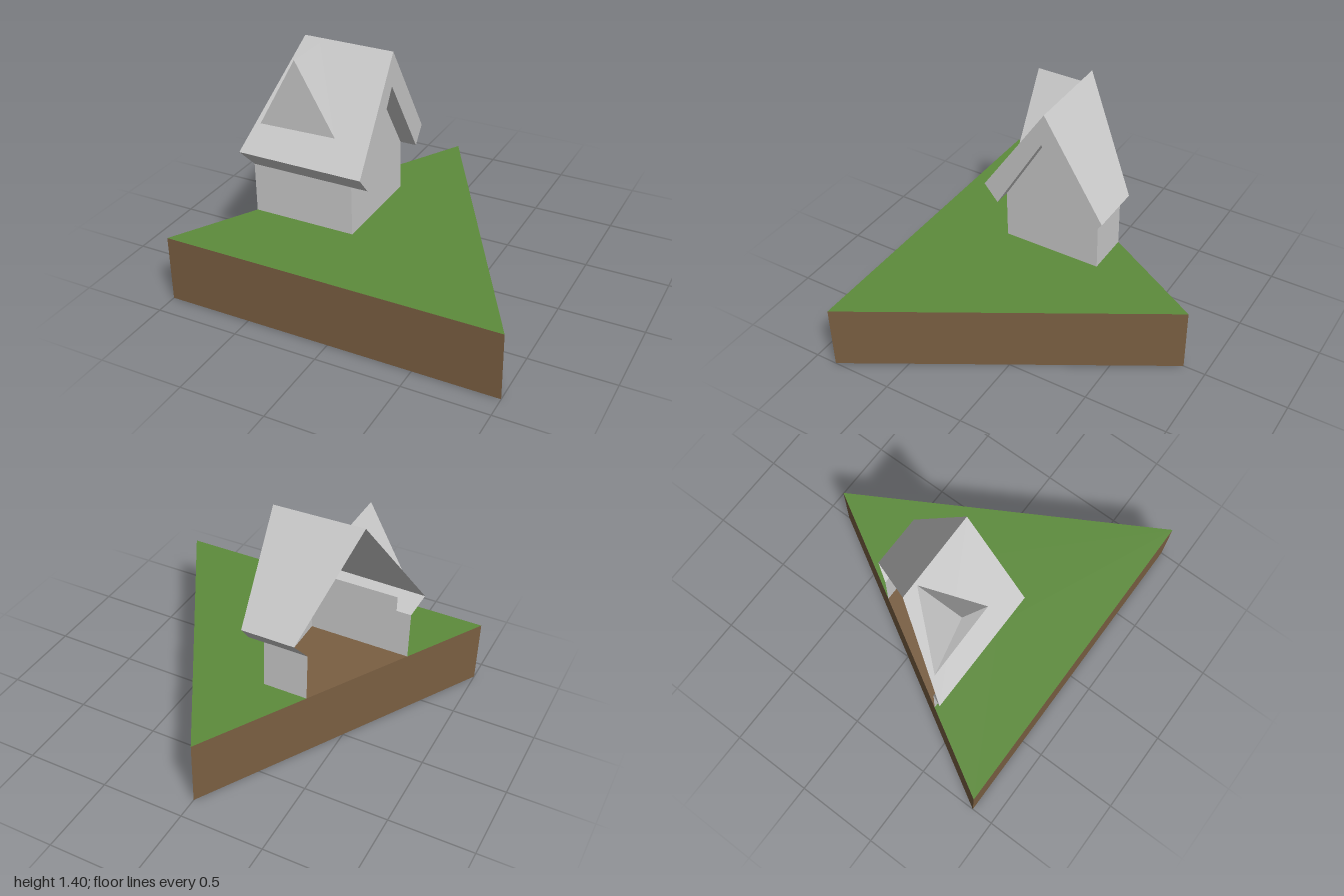
import * as THREE from 'three';

const EDGE = 0.866;                                     // half depth of the triangular plot
const cutX = z => -1 + (EDGE - z) / (2 * EDGE);         // slanted plane that slices the house

const material = color => new THREE.MeshStandardMaterial({ color, side: THREE.DoubleSide, flatShading: true });
const GREY = material(0xcccccc), EARTH = material(0x7a5f42), GRASS = material(0x5d8c3c);

// Convex flat panels, corners counter-clockwise seen from outside
function panels(name, faces, mat = GREY) {
  const pos = [];
  for (const f of faces)
    for (let i = 1; i < f.length - 1; i++) pos.push(...f[0], ...f[i], ...f[i + 1]);
  const geo = new THREE.BufferGeometry();
  geo.setAttribute('position', new THREE.Float32BufferAttribute(pos, 3));
  geo.computeVertexNormals();
  const mesh = new THREE.Mesh(geo, mat);
  mesh.name = name;
  return mesh;
}

function createGround() {
  const ground = new THREE.Group();
  ground.name = 'ground';
  const top = 0.4;
  const corners = [[-1, EDGE], [1, EDGE], [0, -EDGE]];
  // Hollow earth block: three sides and a bottom
  const sides = corners.map(([x, z], i) => {
    const [x2, z2] = corners[(i + 1) % 3];
    return [[x, 0, z], [x2, 0, z2], [x2, top, z2], [x, top, z]];
  });
  const bottom = corners.map(([x, z]) => [x, 0, z]).reverse();
  ground.add(panels('earth', [...sides, bottom], EARTH));
  // Grass with the house footprint left open
  const outline = [...corners, [cutX(-0.23), -0.23], [-0.1, -0.23], [-0.1, 0.38], [cutX(0.38), 0.38]];
  const shape = new THREE.Shape(outline.map(([x, z]) => new THREE.Vector2(x, -z)));
  const grass = new THREE.Mesh(new THREE.ShapeGeometry(shape).rotateX(-Math.PI / 2), GRASS);
  grass.name = 'grass';
  grass.position.y = top;
  ground.add(grass);
  return ground;
}

function createWalls() {
  const walls = new THREE.Group();
  walls.name = 'walls';
  const x = -0.1, f = 0.38, b = -0.23, y0 = 0.4, y1 = 0.7;
  walls.add(
    panels('frontWall', [
      [[cutX(f), y0, f], [x, y0, f], [x, y1, f], [cutX(f), y1, f]],
      [[-0.63, y1, f], [x, y1, f], [x, 0.795, f], [-0.63, 0.795, f]],   // top strip inside the roof
    ]),
    panels('backWall', [[[x, y0, b], [cutX(b), y0, b], [cutX(b), y1, b], [x, y1, b]]]),
    panels('gableWall', [[[x, y0, f], [x, y0, b], [x, y1, b], [x, 1.2, 0.08], [x, y1, f]]]),
  );
  return walls;
}

function createRoof() {
  const roof = new THREE.Group();
  roof.name = 'roof';
  // Sections [z, y]: front soffit, front eave, ridge, back eave, back soffit
  const gable = [[0.38, 0.7], [0.465, 0.803], [0.062, 1.396], [-0.307, 0.8], [-0.23, 0.7]];
  const sliced = [[0.38, 0.7], [0.457, 0.8], [0.068, 1.4], [-0.307, 0.8], [-0.23, 0.7]];
  const right = gable.map(([z, y]) => [0, y, z]);
  const left = sliced.map(([z, y]) => [cutX(z), y, z]);
  const strip = i => [left[i], right[i], right[i + 1], left[i + 1]];
  roof.add(
    panels('roofSlopes', [strip(1), strip(2)]),
    panels('eaves', [strip(0), strip(3)]),
  );
  // Gable overhang: end boards and their underside back to the wall
  const peak = [0, 1.2, 0.08];
  const inward = ([, y, z]) => [-0.1, y, z];
  roof.add(
    panels('gableBoards', [
      [right[0], peak, right[2], right[1]].reverse(),
      [right[4], right[3], right[2], peak].reverse(),
    ].map(f => f.reverse())),
    panels('gableUnderside', [
      [right[0], inward(right[0]), inward(peak), peak],
      [peak, inward(peak), inward(right[4]), right[4]],
    ]),
  );
  return roof;
}

function createDormer() {
  const z = 0.36, apex = [-0.44, 1.378, z], ridgeEnd = [-0.44, 1.378, 0.08];
  const l = [-0.675, 0.955, z], r = [-0.205, 0.965, z];
  const dormer = new THREE.Group();
  dormer.name = 'dormer';
  dormer.add(
    panels('dormerFront', [[l, r, apex]]),
    panels('dormerRoof', [[l, apex, ridgeEnd], [r, ridgeEnd, apex]]),
  );
  return dormer;
}

export function createModel() {
  const model = new THREE.Group();
  model.name = 'slicedHouse';
  model.add(createGround(), createWalls(), createRoof(), createDormer());
  return model;
}
